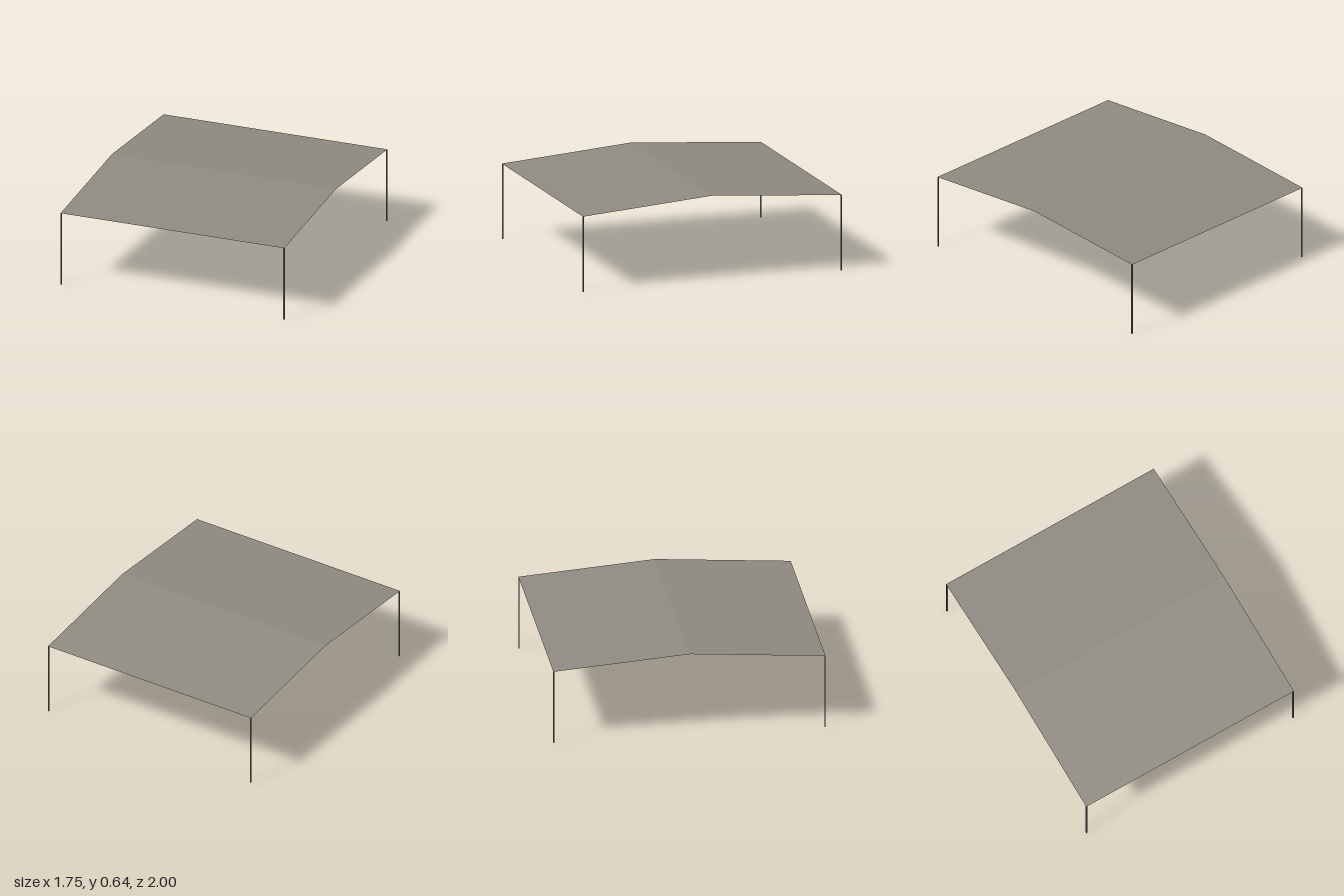
import * as THREE from 'three';

export function createModel() {
  const model = new THREE.Group();
  model.name = 'canopy';

  const sheet = new THREE.MeshStandardMaterial({ color: 0x8f8a80, side: THREE.DoubleSide });
  sheet.name = 'warm grey sheet';
  const metal = new THREE.MeshStandardMaterial({ color: 0x6f6d69 });
  metal.name = 'grey metal';

  const halfWidth = 0.877, halfDepth = 1, eaveY = 0.563, ridgeY = 0.64, post = 0.009;

  // Two thin roof slopes meeting at a ridge along x
  for (const side of [1, -1]) {
    const w = halfWidth, z = side * halfDepth;
    const corners = [-w, eaveY, z, w, eaveY, z, w, ridgeY, 0, -w, ridgeY, 0];
    const geometry = new THREE.BufferGeometry();
    geometry.setAttribute('position', new THREE.Float32BufferAttribute(corners, 3));
    geometry.setIndex(side > 0 ? [0, 1, 2, 0, 2, 3] : [0, 2, 1, 0, 3, 2]);
    geometry.computeVertexNormals();
    const slope = new THREE.Mesh(geometry, sheet);
    slope.name = side > 0 ? 'frontRoofSlope' : 'backRoofSlope';
    model.add(slope);
  }

  // Slender square posts under the four corners
  const postGeometry = new THREE.BoxGeometry(post, eaveY, post);
  for (const x of [1, -1]) {
    for (const z of [1, -1]) {
      const leg = new THREE.Mesh(postGeometry, metal);
      leg.name = (z > 0 ? 'front' : 'back') + (x > 0 ? 'Left' : 'Right') + 'Post';
      leg.position.set(x * (halfWidth - post / 2), eaveY / 2, z * (halfDepth - post / 2));
      model.add(leg);
    }
  }

  return model;
}
